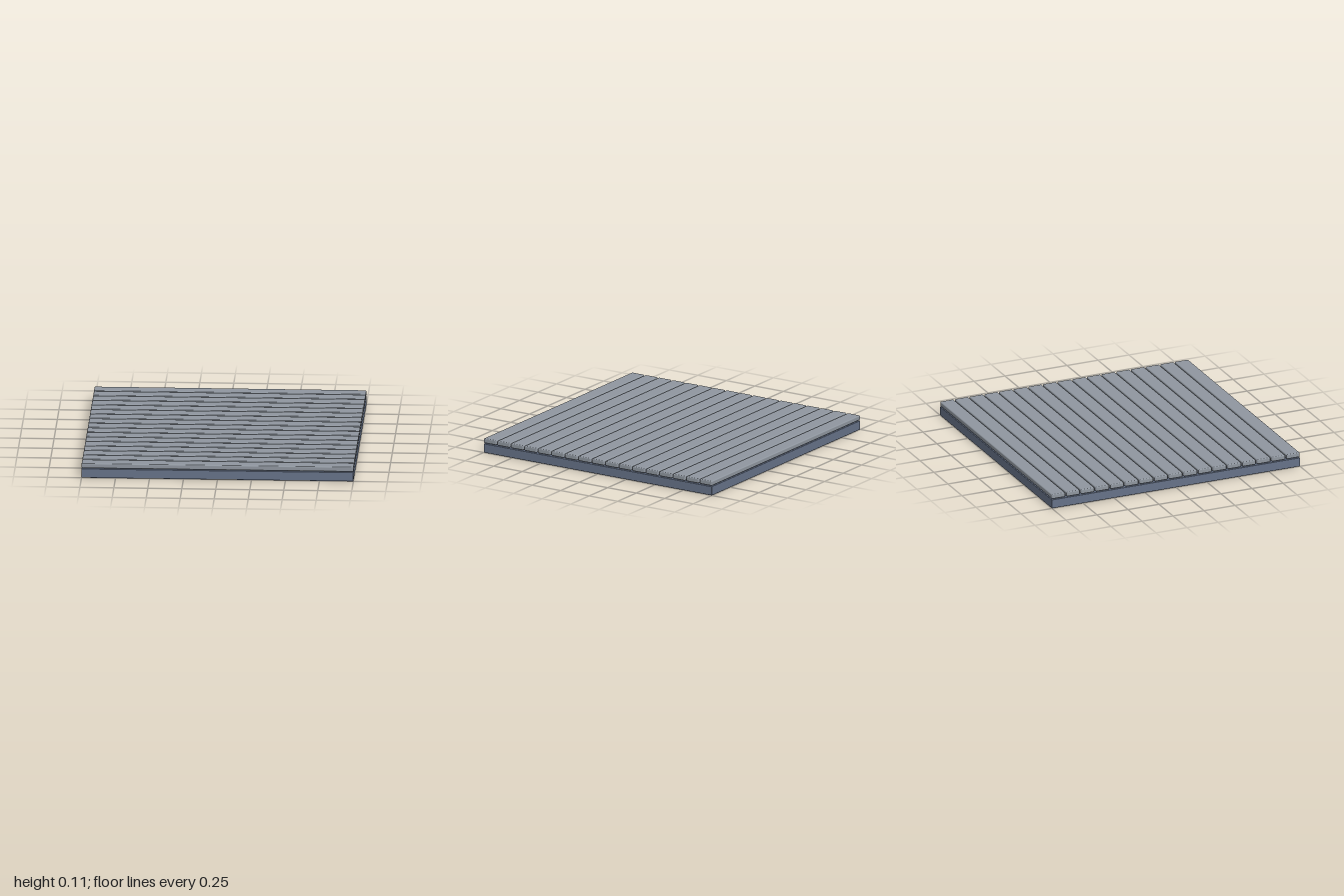
import * as THREE from 'three';
import { RoundedBoxGeometry } from 'three/addons/geometries/RoundedBoxGeometry.js';

export function createModel() {
  const group = new THREE.Group();
  group.name = 'slattedPlatform';

  const baseMaterial = new THREE.MeshStandardMaterial({ color: 0x667288 });
  const slatMaterial = new THREE.MeshStandardMaterial({ color: 0x8f969f });

  // Solid base slab
  const baseHeight = 0.068;
  const base = new THREE.Mesh(new RoundedBoxGeometry(2, baseHeight, 2, 2, 0.003), baseMaterial);
  base.name = 'base';
  base.position.y = baseHeight / 2;
  group.add(base);

  // Evenly spaced planks with softened edges, running along x just above the base
  const count = 17, width = 0.108, bottom = 0.073, top = 0.109;
  const pitch = (2 - width) / (count - 1);
  const slatGeometry = new RoundedBoxGeometry(2, top - bottom, width, 3, 0.008);
  const slats = new THREE.Group();
  slats.name = 'slats';
  for (let i = 0; i < count; i++) {
    const slat = new THREE.Mesh(slatGeometry, slatMaterial);
    slat.name = `slat${i + 1}`;
    slat.position.set(0, (bottom + top) / 2, (i - (count - 1) / 2) * pitch);
    slats.add(slat);
  }
  group.add(slats);

  return group;
}
